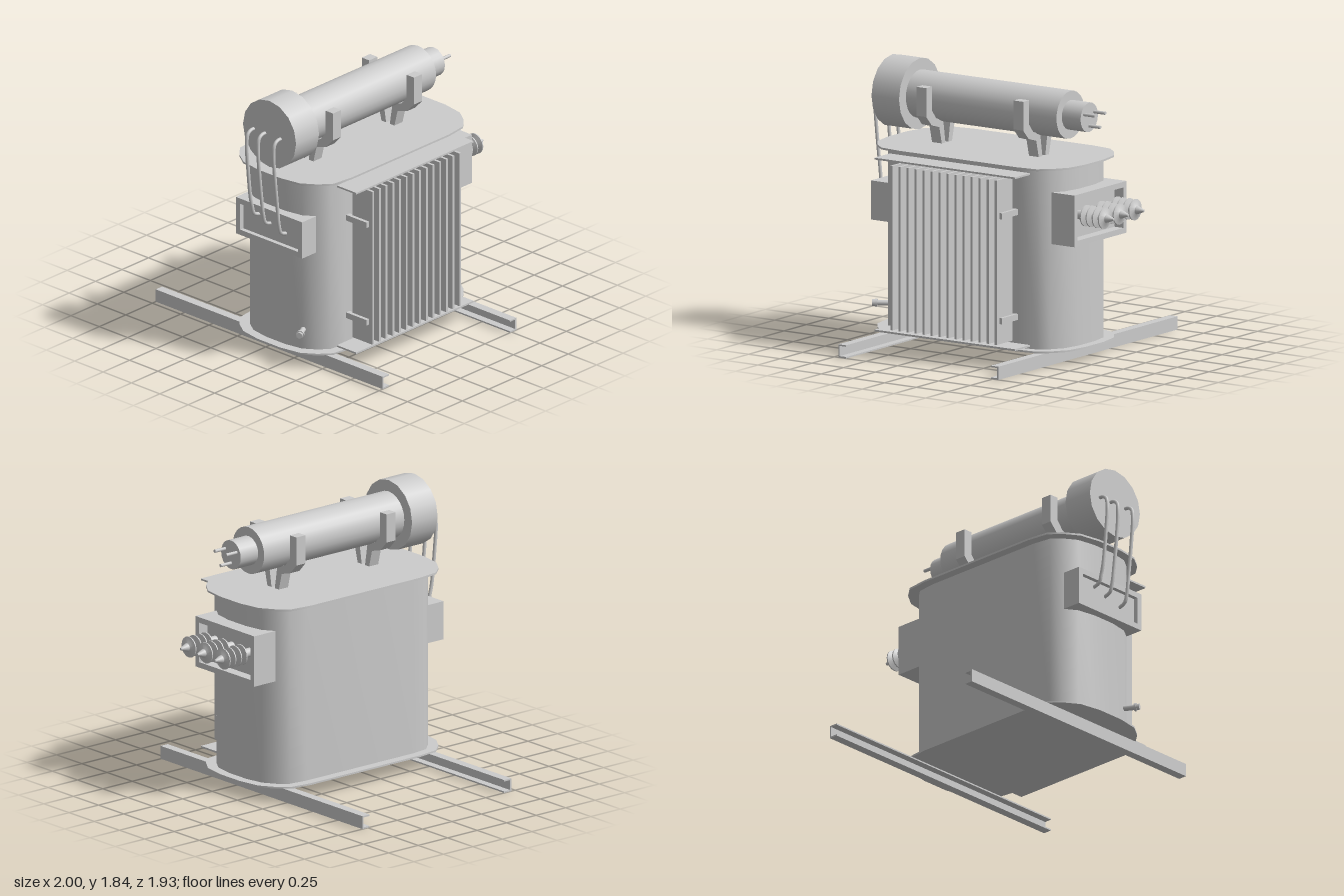
import * as THREE from 'three';
import { toCreasedNormals } from 'three/addons/utils/BufferGeometryUtils.js';

const grey = new THREE.MeshStandardMaterial({ color: 0xcccccc });
const CX = 0.137, CZ = 0.086; // tank centre
const DX = 0.16, DY = 1.602; // oil drum axis

export function createModel() {
  const model = new THREE.Group();

  const add = (name, geometry, parent = model) => {
    const mesh = new THREE.Mesh(geometry, grey);
    mesh.name = name;
    parent.add(mesh);
    return mesh;
  };
  const group = (name) => {
    const g = new THREE.Group();
    g.name = name;
    model.add(g);
    return g;
  };
  // Box given by its limits on each axis
  const box = (name, x0, x1, y0, y1, z0, z1, parent) =>
    add(name, new THREE.BoxGeometry(x1 - x0, y1 - y0, z1 - z0)
      .translate((x0 + x1) / 2, (y0 + y1) / 2, (z0 + z1) / 2), parent);
  // Cylinder lying along z
  const rod = (name, r, x, y, z0, z1, sides, parent) =>
    add(name, new THREE.CylinderGeometry(r, r, z1 - z0, sides)
      .rotateX(Math.PI / 2).translate(x, y, (z0 + z1) / 2), parent);
  const shapeOf = (pts) => new THREE.Shape(pts.map(([x, y]) => new THREE.Vector2(x, y)));
  const extrude = (shape, depth) =>
    new THREE.ExtrudeGeometry(shape, { depth, bevelEnabled: false });

  // Rounded-end slab, used for the tank and its two flanges
  const corner = [[0.432, 0.46], [0.412, 0.612], [0.345, 0.69], [0.25, 0.755], [0.1, 0.782]];
  const slab = (name, inset, y0, y1) => {
    const q = corner.map(([x, z]) => [x * (1 - inset / 0.432), z - inset * (z - 0.4) / 0.382]);
    const r = [...q].reverse();
    const outline = [
      ...q, ...r.map(([x, z]) => [-x, z]),
      ...q.map(([x, z]) => [-x, -z]), ...r.map(([x, z]) => [x, -z]),
    ];
    const geo = extrude(shapeOf(outline), y1 - y0).rotateX(-Math.PI / 2).translate(CX, y0, CZ);
    return add(name, toCreasedNormals(geo, 0.8));
  };
  slab('tank', 0.062, 0.1, 1.3);
  slab('bottomFlange', 0, 0.097, 0.109);
  slab('topFlange', 0, 1.295, 1.308);

  // Channel-section base rails, open sides facing inwards
  for (const [name, web, dir] of [['frontRail', 0.717, -1], ['backRail', -0.545, 1]]) {
    const t = 0.01, w = 0.06, h = 0.087;
    const profile = [[0, 0], [w, 0], [w, t], [t, t], [t, h - t], [w, h - t], [w, h], [0, h]];
    const pts = profile.map(([a, y]) => [-(web + dir * a), y]);
    // rotating by 90 degrees sends shape x to -z and depth to x
    add(name, extrude(shapeOf(pts), 2).rotateY(Math.PI / 2).translate(-1, 0, 0));
  }

  // Radiator: fins, cover plates and joining stubs
  const radiator = group('radiator');
  for (let i = 0; i < 14; i++) {
    const z = 0.5 - i * 0.0632;
    box('fin', 0.54, 0.715, 0.157, 1.238, z - 0.009, z + 0.009, radiator);
  }
  for (const y of [0.13, 1.26]) box('coverPlate', 0.53, 0.7, y, y + 0.012, -0.462, 0.645, radiator);
  for (const y of [0.29, 0.98]) {
    box('frontStub', 0.5, 0.685, y, y + 0.04, 0.5, 0.533, radiator);
    box('backStub', 0.5, 0.685, y, y + 0.04, -0.35, -0.32, radiator);
  }

  // Terminal boxes with a recessed outer face
  const terminalBox = (name, y0, y1, zIn, zOut, recess) => {
    const g = group(name), x0 = -0.155, x1 = 0.428, b = 0.037;
    const rect = (d) => [[x0 + d, y0 + d], [x1 - d, y0 + d], [x1 - d, y1 - d], [x0 + d, y1 - d]];
    const frame = shapeOf(rect(0));
    frame.holes.push(new THREE.Path(rect(b).map(([x, y]) => new THREE.Vector2(x, y))));
    const out = Math.sign(zOut - zIn), mid = zOut - out * recess;
    add('frame', extrude(frame, recess).translate(0, 0, Math.min(mid, zOut)), g);
    box('body', x0, x1, y0, y1, Math.min(zIn, mid), Math.max(zIn, mid), g);
  };
  terminalBox('frontTerminalBox', 0.795, 1.052, 0.73, 0.865, 0.03);
  terminalBox('backTerminalBox', 0.8, 1.14, -0.555, -0.74, 0.07);

  // Ribbed insulators on the back box; profile runs outwards from the box
  const rib = (z) => [[0.03, z - 0.02], [0.07, z - 0.004], [0.07, z + 0.004], [0.03, z + 0.014]];
  const profile = [[0, 0.66], [0.03, 0.66], ...[0.752, 0.798, 0.847, 0.895].flatMap(rib),
    [0.027, 0.912], [0.027, 0.918], [0.008, 0.966], [0, 0.966]];
  const insulator = toCreasedNormals(new THREE.LatheGeometry(
    profile.map(([r, z]) => new THREE.Vector2(r, z)), 16).rotateX(-Math.PI / 2), 0.6);
  for (const x of [-0.03, 0.145, 0.31]) add('insulator', insulator).position.set(x, 0.99, 0);

  // Oil drum on top
  const drum = group('oilDrum');
  rod('drumBody', 0.157, DX, DY, -0.52, 0.68, 24, drum);
  rod('drumHead', 0.234, DX, DY, 0.668, 0.885, 16, drum);
  rod('drumNeck', 0.097, DX, DY, -0.668, -0.5, 20, drum);
  for (const [x, y] of [[0.105, 1.63], [0.218, 1.63], [0.16, 1.546]])
    rod('drumPin', 0.011, x, y, -0.757, -0.65, 10, drum);

  // Cradle arms: slanted foot, outward step, upright
  const arm = [[0.055, 1.3], [0.085, 1.42], [0.17, 1.445], [0.23, 1.51], [0.23, 1.7],
    [0.165, 1.7], [0.165, 1.54], [0.12, 1.485], [0.04, 1.455], [0.015, 1.3]];
  for (const z of [0.455, -0.31]) {
    for (const side of [1, -1]) {
      const pts = arm.map(([x, y]) => [DX + side * x, y]);
      add('cradleArm', extrude(shapeOf(pts), 0.077).translate(0, 0, z));
    }
  }

  // Cables from the drum head down to the front box
  for (const [x, y] of [[0.02, 0.975], [0.12, 0.94], [0.257, 0.91]]) {
    const path = new THREE.CatmullRomCurve3([
      [1.595, 0.87], [1.595, 0.91], [1.575, 0.94], [1.51, 0.951], [1.35, 0.94],
      [1.12, 0.915], [y + 0.08, 0.9], [y + 0.02, 0.88], [y, 0.83],
    ].map(([py, z]) => new THREE.Vector3(x, py, z)));
    add('cable', new THREE.TubeGeometry(path, 40, 0.012, 10));
  }

  // Drain valve, angled out of the tank's front left curve
  const valve = group('drainValve');
  rod('valvePipe', 0.018, 0, 0, -0.06, 0.11, 12, valve);
  rod('valveCollar', 0.027, 0, 0, 0.085, 0.1, 12, valve);
  rod('valveCap', 0.022, 0, 0, 0.1, 0.12, 6, valve);
  valve.position.set(0.35, 0.245, 0.765);
  valve.rotation.y = 0.5;

  return model;
}
